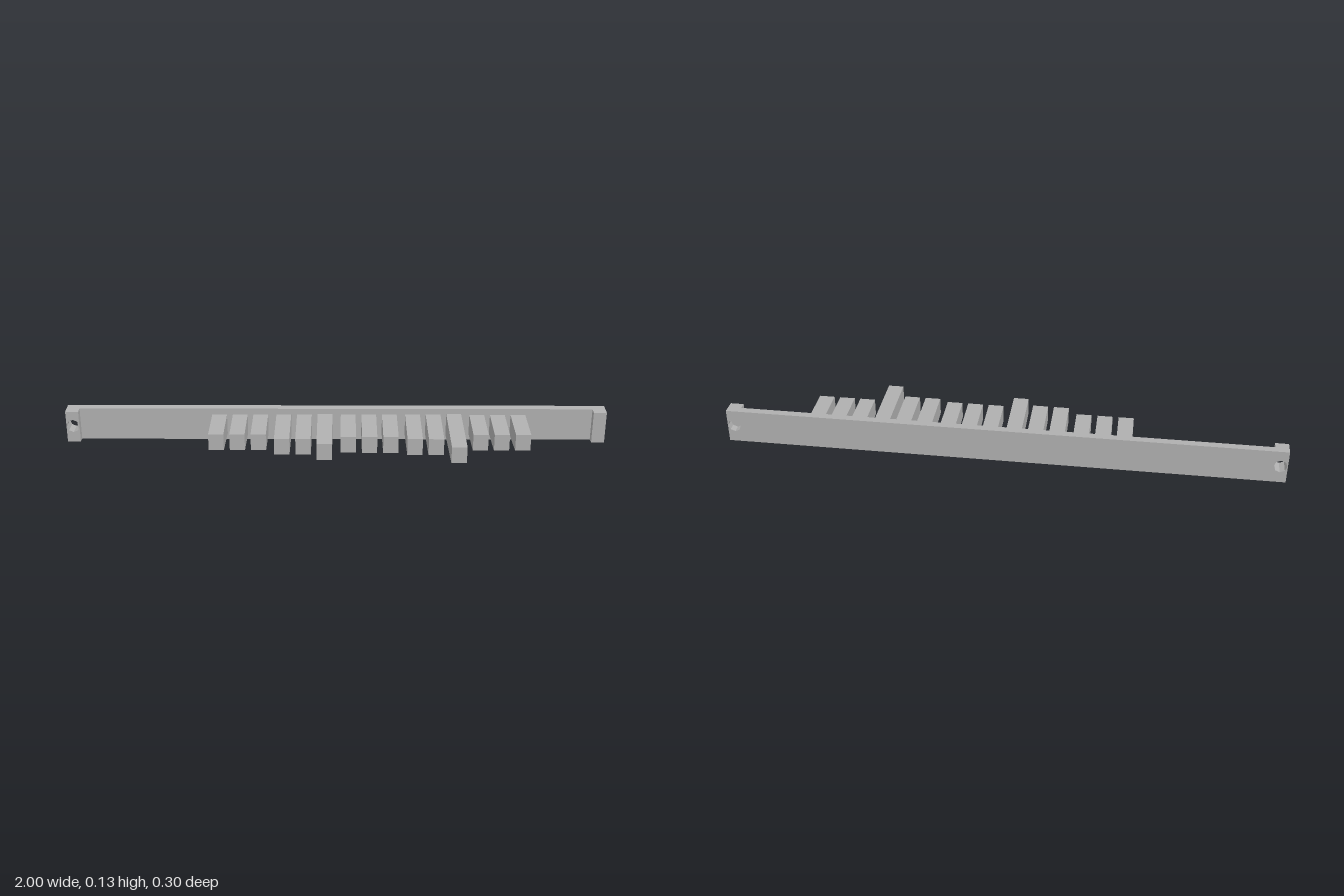
import * as THREE from 'three';

const MID = 0.0635;              // height of the centre line
const BACK = -0.148, FACE = -0.119, TAB = -0.091;

export function createModel() {
  const group = new THREE.Group();
  const grey = new THREE.MeshStandardMaterial({ color: 0xb0b0b0 });
  grey.name = 'plainGrey';

  const add = (name, geometry) => {
    geometry.computeVertexNormals();
    const mesh = new THREE.Mesh(geometry, grey);
    mesh.name = name;
    group.add(mesh);
  };

  // Sets the top and bottom edges to a half height that depends on z
  const draft = (geometry, halfAt) => {
    const p = geometry.attributes.position;
    for (let i = 0; i < p.count; i++) {
      const dy = p.getY(i) - MID;
      if (Math.abs(dy) > 0.04) p.setY(i, MID + Math.sign(dy) * halfAt(p.getZ(i)));
    }
    return geometry;
  };
  const railHalf = z => MID - 0.06 * (z - BACK);

  // Upright slab between two x values with screw holes through it
  const slab = (x0, x1, z0, z1, holes) => {
    const s = new THREE.Shape();
    s.moveTo(x0, 0).lineTo(x1, 0).lineTo(x1, 2 * MID).lineTo(x0, 2 * MID).closePath();
    for (const hx of holes) {
      const h = new THREE.Path();
      for (let i = 0; i < 8; i++) {
        const a = -i * Math.PI / 4;
        const x = hx + 0.0235 * Math.cos(a), y = 0.066 + 0.0245 * Math.sin(a);
        i ? h.lineTo(x, y) : h.moveTo(x, y);
      }
      h.closePath();
      s.holes.push(h);
    }
    const g = new THREE.ExtrudeGeometry(s, { depth: z1 - z0, bevelEnabled: false });
    g.translate(0, 0, z0);
    return draft(g, railHalf);
  };

  // Back rail and end tabs
  add('backRail', slab(-1, 1, BACK, FACE, [-0.975, 0.975]));
  add('rightEndTab', slab(-1, -0.952, FACE, TAB, [-0.975]));
  add('leftEndTab', slab(0.952, 1, FACE, TAB, [0.975]));

  // Five groups of three teeth, each tapering towards its tip
  const tips = [
    [0.045, 0.045, 0.045], [0.082, 0.082, 0.124], [0.065, 0.065, 0.065],
    [0.082, 0.082, 0.149], [0.045, 0.045, 0.045],
  ];
  tips.forEach((row, g) => row.forEach((tip, k) => {
    const length = tip - FACE;
    const box = new THREE.BoxGeometry(0.055, 0.1, length);
    box.translate(-0.432 + 0.239 * g + 0.0765 * k, MID, FACE + length / 2);
    add(`tooth${g * 3 + k + 1}`, draft(box, z => 0.031 + 0.041 * (tip - z)));
  }));

  return group;
}
